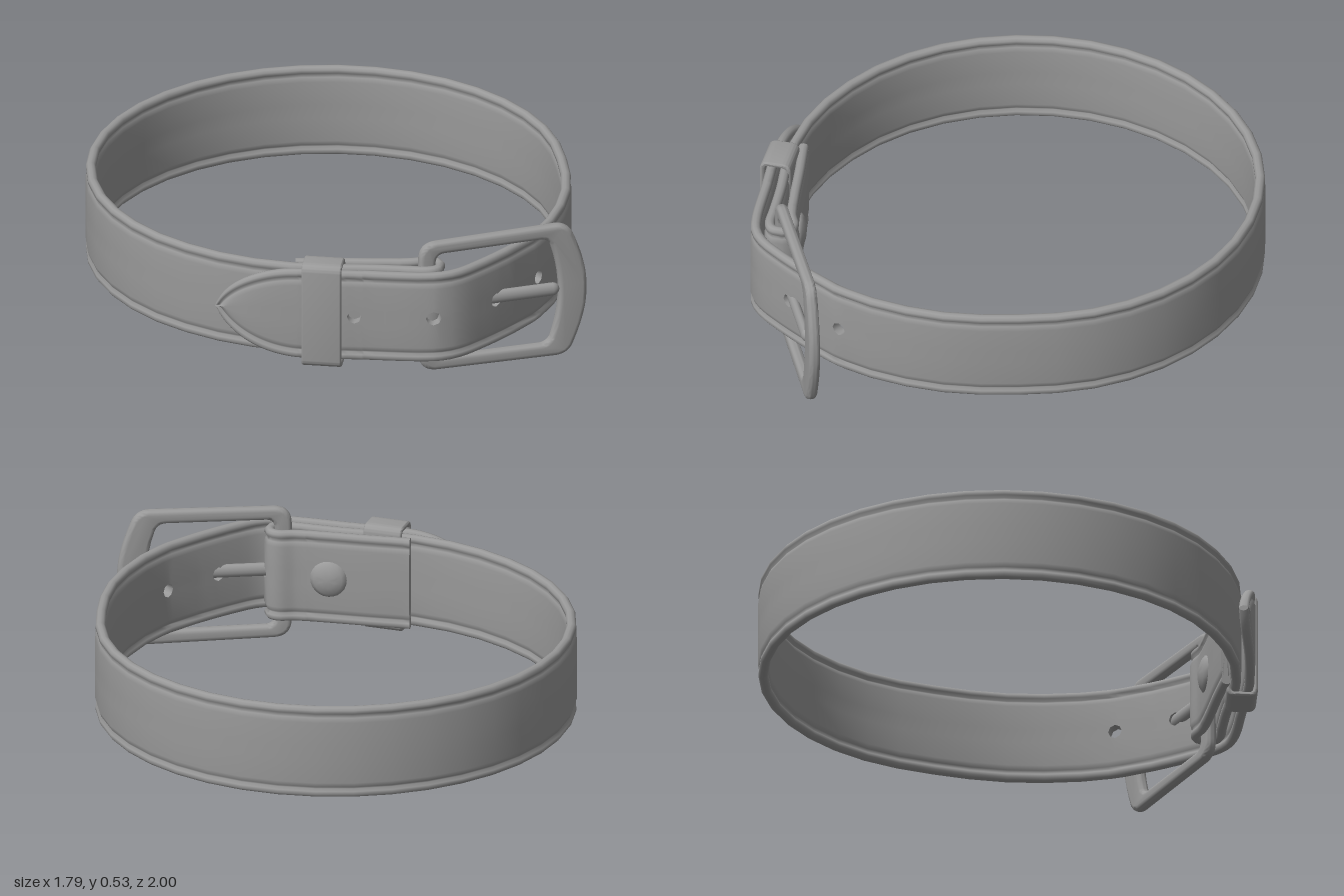
import * as THREE from 'three';
import { toCreasedNormals } from 'three/addons/utils/BufferGeometryUtils.js';

const MID = 0.267;      // height of the strap's centre line
const HALF = 0.18;      // half the strap width
const HOLE = 0.027;     // punched hole radius
const BAR = [-0.145, 0.824];
const BUCKLE_TURN = -0.255;
const material = new THREE.MeshStandardMaterial({ color: 0x999999 });

function mesh(name, geometry, parent) {
  const m = new THREE.Mesh(geometry, material);
  m.name = name;
  parent.add(m);
  return m;
}

// Strap centre line seen from above (x, z): tip, front, ring, then the fold round the buckle bar
function strapCurve() {
  const pts = [[-0.795, 0.385], [-0.71, 0.495], [-0.6, 0.603], [-0.5, 0.685], [-0.39, 0.765], [-0.225, 0.888],
    [-0.15, 0.927], [-0.08, 0.934], [0.03, 0.912], [0.17, 0.872], [0.29, 0.828], [0.41, 0.76], [0.52, 0.67],
    [0.625, 0.557], [0.712, 0.425]];
  for (let i = 0; i <= 18; i++) {
    const a = THREE.MathUtils.degToRad(63 + i * 13);
    pts.push([0.875 * Math.sin(a), -0.11 + 0.873 * Math.cos(a)]);
  }
  pts.push([-0.7, 0.42], [-0.6, 0.535], [-0.47, 0.643], [-0.35, 0.725], [-0.24, 0.808]);
  for (let i = 0; i <= 4; i++) {
    const a = 2.2 - i * Math.PI / 4;
    pts.push([BAR[0] + 0.045 * Math.cos(a), BAR[1] + 0.045 * Math.sin(a)]);
  }
  pts.push([-0.18, 0.765], [-0.28, 0.705], [-0.42, 0.613], [-0.545, 0.535]);
  const curve = new THREE.CatmullRomCurve3(pts.map(([x, z]) => new THREE.Vector3(x, 0, z)), false, 'centripetal');
  curve.arcLengthDivisions = 1500;
  return curve;
}

// Strap with beaded edges, pointed tip and punched holes
function strapGeometry() {
  const curve = strapCurve(), length = curve.getLength();
  const nearest = (x, z) => {
    let best = 0, bestD = Infinity;
    for (let i = 0; i <= 2500; i++) {
      const p = curve.getPointAt(i / 2500), d = Math.hypot(p.x - x, p.z - z);
      if (d < bestD) { bestD = d; best = i / 2500 * length; }
    }
    return best;
  };
  const holes = [[-0.42, 0.745], [-0.18, 0.91], [0.09, 0.897], [0.325, 0.808], [-0.105, 0.845]]
    .map(([x, z]) => nearest(x, z));
  const fold = holes[4];

  // cross-section (height, thickness): outer face top to bottom, then the inner face back up
  const half = [[HALF, 0], [0.177, 0.011], [0.168, 0.018], [0.155, 0.018], [0.146, 0.008], [0.138, 0.014],
    [0.12, 0.02], [HOLE, 0.02], [0, 0.02]];
  const outer = [...half, ...half.slice(0, 8).reverse().map(([v, t]) => [-v, t])];
  const ring = [...outer, ...outer.slice(1, 16).reverse().map(([v, t]) => [v, -t])];
  const N = ring.length;

  // columns along the strap: fine at the tip and fold, coarse round the ring
  const cols = [];
  for (let s = 0; s < length - 0.006;) {
    if (holes.every(h => Math.abs(s - h) > HOLE + 0.006)) cols.push(s);
    s += s < 0.32 || Math.abs(s - fold) < 0.17 ? 0.01 : s < 1.2 || s > fold - 0.6 ? 0.04 : 0.14;
  }
  cols.push(length);
  holes.forEach(h => cols.push(h - HOLE, h, h + HOLE));
  cols.sort((a, b) => a - b);
  const centres = holes.map(h => cols.indexOf(h));

  const pos = [], index = [];
  cols.forEach((s0, j) => {
    const side = centres.includes(j + 1) ? 1 : centres.includes(j - 1) ? -1 : 0;
    // the bead keeps its width round the tip while the panel narrows
    const w = HALF * (s0 < 0.33 ? Math.max(0.06, Math.pow(1 - (1 - s0 / 0.33) ** 2, 0.65)) : 1);
    ring.forEach(([v, t]) => {
      const corner = side && Math.abs(v) === HOLE;
      const u = (s0 + (corner ? side * 0.3 * HOLE : 0)) / length;
      const p = curve.getPointAt(u), d = curve.getTangentAt(u);
      const y = Math.abs(v) >= 0.12 ? Math.sign(v) * Math.max(0, Math.abs(v) - HALF + w)
        : v * Math.max(0, w - 0.06) / 0.12;
      pos.push(p.x - d.z * t, MID + y * (corner ? 0.7 : 1), p.z + d.x * t);
    });
  });
  const id = (j, k) => j * N + (k + N) % N;
  for (let j = 0; j < cols.length - 1; j++) {
    const punched = centres.includes(j) || centres.includes(j + 1);
    for (let k = 0; k < N; k++) {
      if (punched && [7, 8, 23, 24].includes(k)) continue;
      const a = id(j, k), b = id(j + 1, k), c = id(j + 1, k + 1), d = id(j, k + 1);
      index.push(a, d, c, a, c, b);
    }
  }
  const copy = i => pos.push(pos[i * 3], pos[i * 3 + 1], pos[i * 3 + 2]) / 3 - 1;
  // hole walls
  for (const c of centres) {
    const rim = [[-1, 7], [-1, 8], [-1, 9], [0, 9], [1, 9], [1, 8], [1, 7], [0, 7]];
    const front = rim.map(([j, k]) => copy(id(c + j, k)));
    const back = rim.map(([j, k]) => copy(id(c + j, N - k)));
    for (let i = 0; i < 8; i++) {
      const n = (i + 1) % 8;
      index.push(front[i], front[n], back[n], front[i], back[n], back[i]);
    }
  }
  // end caps
  for (const j of [0, cols.length - 1]) {
    const cap = ring.map((_, k) => copy(id(j, k)));
    const p = curve.getPointAt(j ? 1 : 0), centre = pos.push(p.x, MID, p.z) / 3 - 1;
    cap.forEach((a, k) => {
      const b = cap[(k + 1) % N];
      index.push(centre, ...(j ? [a, b] : [b, a]));
    });
  }
  const g = new THREE.BufferGeometry();
  g.setAttribute('position', new THREE.Float32BufferAttribute(pos, 3));
  g.setIndex(index);
  g.computeVertexNormals();
  return g;
}

function bevelled(shape, depth, bevel) {
  const g = new THREE.ExtrudeGeometry(shape, { depth: depth - 2 * bevel, bevelThickness: bevel, bevelSize: bevel,
    bevelOffset: -bevel, bevelSegments: 4, curveSegments: 10 });
  g.translate(0, 0, -depth / 2 + bevel);
  return toCreasedNormals(g, 0.8);
}

function roundRect(path, w, h, r) {
  path.moveTo(w, -h + r).lineTo(w, h - r).quadraticCurveTo(w, h, w - r, h).lineTo(-w + r, h)
    .quadraticCurveTo(-w, h, -w, h - r).lineTo(-w, -h + r).quadraticCurveTo(-w, -h, -w + r, -h)
    .lineTo(w - r, -h).quadraticCurveTo(w, -h, w, -h + r);
  return path;
}

function buckleFrame() {
  const s = new THREE.Shape();
  s.moveTo(-0.038, -0.19).quadraticCurveTo(-0.038, -0.258, 0.03, -0.26).lineTo(0.49, -0.267)
    .quadraticCurveTo(0.54, -0.267, 0.56, -0.225).bezierCurveTo(0.6, -0.13, 0.614, -0.07, 0.614, 0)
    .bezierCurveTo(0.614, 0.07, 0.6, 0.13, 0.56, 0.225).quadraticCurveTo(0.54, 0.267, 0.49, 0.267)
    .lineTo(0.03, 0.26).quadraticCurveTo(-0.038, 0.258, -0.038, 0.19);
  const h = new THREE.Path();
  h.moveTo(0.026, -0.18).quadraticCurveTo(0.03, -0.21, 0.06, -0.21).lineTo(0.43, -0.213)
    .quadraticCurveTo(0.465, -0.213, 0.475, -0.18).quadraticCurveTo(0.535, 0, 0.475, 0.18)
    .quadraticCurveTo(0.465, 0.213, 0.43, 0.213).lineTo(0.06, 0.21).quadraticCurveTo(0.03, 0.21, 0.026, 0.18);
  s.holes.push(h);
  return bevelled(s, 0.042, 0.017);
}

export function createModel() {
  const model = new THREE.Group();
  mesh('strap', strapGeometry(), model);

  // Buckle with its prong hinged on the bar
  const buckle = new THREE.Group();
  buckle.name = 'buckle';
  buckle.position.set(BAR[0], MID, BAR[1]);
  buckle.rotation.y = BUCKLE_TURN;
  model.add(buckle);
  mesh('buckleFrame', buckleFrame(), buckle);
  const prong = mesh('prong', new THREE.CapsuleGeometry(0.026, 0.42, 6, 14).rotateZ(Math.PI / 2), buckle);
  prong.scale.z = 0.7;
  prong.position.set(0.27, 0.006, 0.01);
  mesh('prongLoop', new THREE.TorusGeometry(0.034, 0.014, 8, 20).rotateX(Math.PI / 2), buckle);

  // Keeper loop round the two overlapping layers
  const ring = roundRect(new THREE.Shape(), 0.059, 0.207, 0.035);
  ring.holes.push(roundRect(new THREE.Path(), 0.041, 0.189, 0.016));
  const keeper = mesh('keeperLoop', bevelled(ring, 0.15, 0.007), model);
  keeper.position.set(-0.5, MID, 0.656);
  keeper.rotation.y = Math.atan2(0.76, 0.65);

  // Domed rivet holding the folded end
  const profile = [[0, -0.07], [0.02, -0.07], [0.02, 0], [0.071, 0], [0.069, 0.009], [0.054, 0.02], [0.03, 0.028], [0, 0.031]];
  const rivet = mesh('rivet', toCreasedNormals(
    new THREE.LatheGeometry(profile.map(p => new THREE.Vector2(...p)), 24).rotateX(Math.PI / 2), 0.8), model);
  rivet.position.set(-0.28, MID, 0.688);
  rivet.rotation.y = Math.atan2(0.55, -0.83);
  return model;
}
